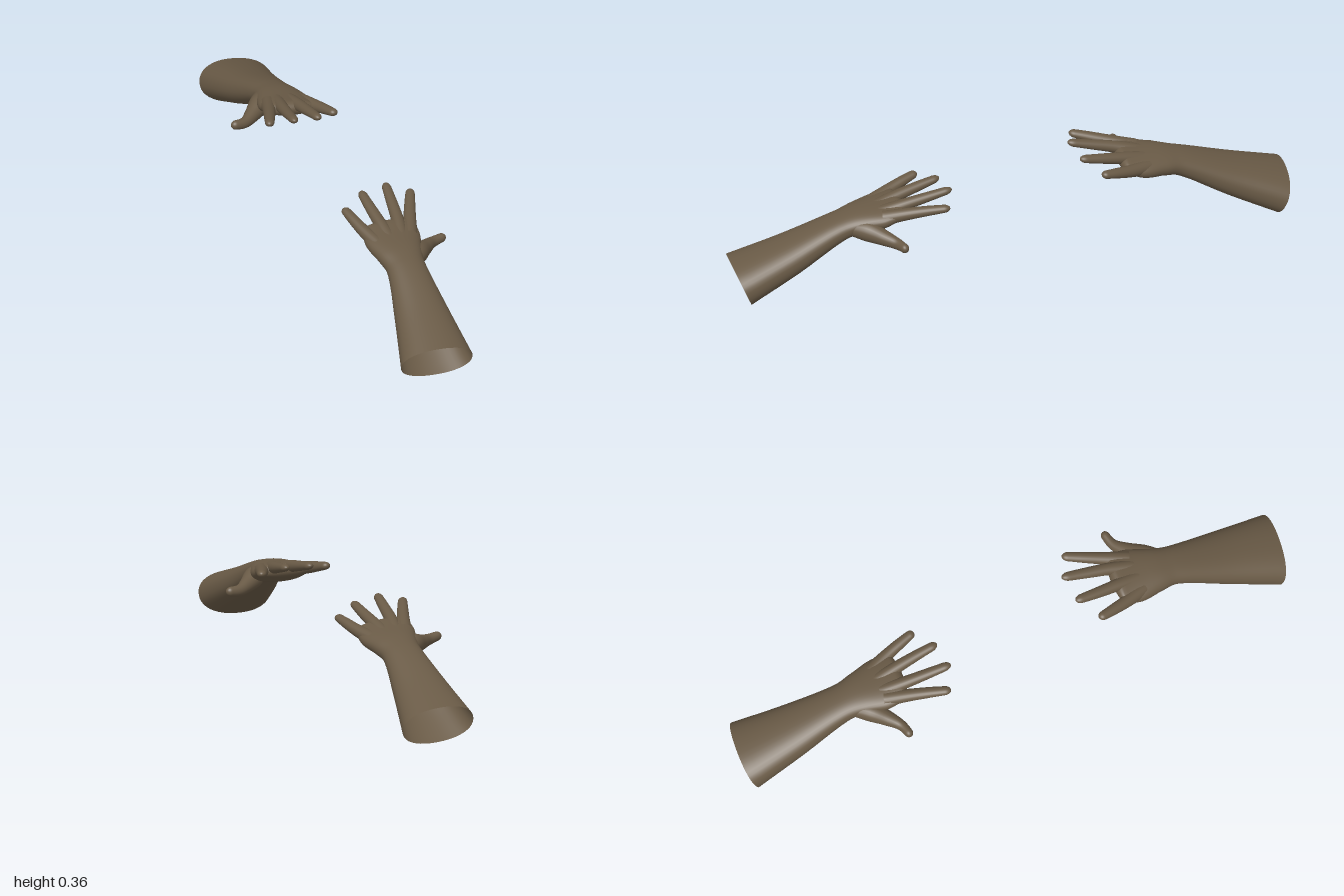
import * as THREE from 'three';

// Smooth tube through stations [x, y, z, halfWidth, halfHeight]; its far end closes as a dome from t = dome
function loft(name, material, stations, { dome = 0.9, rings = 32, sides = 24, square = 1 } = {}) {
  const centre = new THREE.CatmullRomCurve3(stations.map(s => new THREE.Vector3(s[0], s[1], s[2])));
  const size = new THREE.CatmullRomCurve3(stations.map((s, i) => new THREE.Vector3(s[3], s[4], i * 0.05)));
  const up = new THREE.Vector3(0, 1, 0);
  const positions = [], index = [];
  const soften = v => Math.sign(v) * Math.abs(v) ** square;
  for (let i = 0; i <= rings; i++) {
    const t = 1 - (1 - i / rings) ** 1.7;
    const c = centre.getPoint(t), r = size.getPoint(t), along = centre.getTangent(t);
    const side = along.clone().cross(up).normalize();
    const top = side.clone().cross(along);
    const close = t > dome ? Math.sqrt(Math.max(0, 1 - ((t - dome) / (1 - dome)) ** 2)) : 1;
    for (let j = 0; j < sides; j++) {
      const a = (j / sides) * Math.PI * 2;
      const p = c.clone()
        .addScaledVector(side, soften(Math.cos(a)) * r.x * close)
        .addScaledVector(top, soften(Math.sin(a)) * r.y * close);
      positions.push(p.x, p.y, p.z);
      if (i < rings) {
        const k = (j + 1) % sides, n = i * sides;
        index.push(n + j, n + sides + j, n + k, n + k, n + sides + j, n + sides + k);
      }
    }
  }
  const geometry = new THREE.BufferGeometry();
  geometry.setAttribute('position', new THREE.Float32BufferAttribute(positions, 3));
  geometry.setIndex(index);
  geometry.computeVertexNormals();
  const mesh = new THREE.Mesh(geometry, material);
  mesh.name = name;
  return mesh;
}

function makeArm(name, skin) {
  const arm = new THREE.Group();
  arm.name = name;

  // Open forearm, wrist and palm in one skin
  arm.add(loft('forearmAndPalm', skin, [
    [-0.072, 0.084, 0.972, 0.127, 0.075],
    [-0.047, 0.157, 0.8, 0.097, 0.06],
    [-0.024, 0.242, 0.62, 0.069, 0.041],
    [-0.018, 0.262, 0.55, 0.08, 0.039],
    [-0.011, 0.275, 0.48, 0.097, 0.036],
    [-0.003, 0.292, 0.425, 0.094, 0.027],
    [0, 0.3, 0.395, 0.088, 0.021],
  ], { dome: 0.88, rings: 48, sides: 40, square: 0.9 }));

  // Fingers: root, knuckle, middle joint, tip
  const fingers = {
    indexFinger: [[0.05, 0.282, 0.485], [0.083, 0.299, 0.41], [0.113, 0.313, 0.345], [0.145, 0.326, 0.278]],
    middleFinger: [[0.018, 0.284, 0.485], [0.037, 0.308, 0.41], [0.052, 0.328, 0.33], [0.068, 0.35, 0.24]],
    ringFinger: [[-0.025, 0.284, 0.485], [-0.027, 0.307, 0.41], [-0.028, 0.326, 0.33], [-0.027, 0.345, 0.247]],
    littleFinger: [[-0.068, 0.278, 0.485], [-0.09, 0.296, 0.41], [-0.103, 0.312, 0.35], [-0.113, 0.326, 0.295]],
  };
  const girth = [[0.027, 0.026], [0.022, 0.021], [0.019, 0.017], [0.015, 0.012]];
  for (const [finger, joints] of Object.entries(fingers)) {
    arm.add(loft(finger, skin, joints.map((p, i) => [...p, ...girth[i]]), { dome: 0.91 }));
  }

  // Thumb with its fleshy base
  arm.add(loft('thumb', skin, [
    [0.012, 0.25, 0.6, 0.025, 0.025],
    [0.052, 0.245, 0.545, 0.035, 0.036],
    [0.1, 0.232, 0.5, 0.026, 0.027],
    [0.14, 0.225, 0.471, 0.018, 0.02],
    [0.194, 0.228, 0.458, 0.014, 0.015],
  ], { dome: 0.93 }));
  return arm;
}

export function createModel() {
  const model = new THREE.Group();
  model.name = 'reachingArms';
  const skin = new THREE.MeshStandardMaterial({ color: 0x695a46, side: THREE.DoubleSide });
  skin.name = 'brown skin';

  model.add(makeArm('frontArm', skin));

  // Same arm turned to face the first, rolled slightly towards its little finger
  const back = makeArm('backArm', skin);
  back.rotation.y = Math.PI;
  back.position.y = -0.2;
  const roll = new THREE.Group();
  roll.name = 'backArmRoll';
  roll.rotation.z = -0.12;
  roll.position.y = 0.197;
  roll.add(back);
  model.add(roll);
  return model;
}
